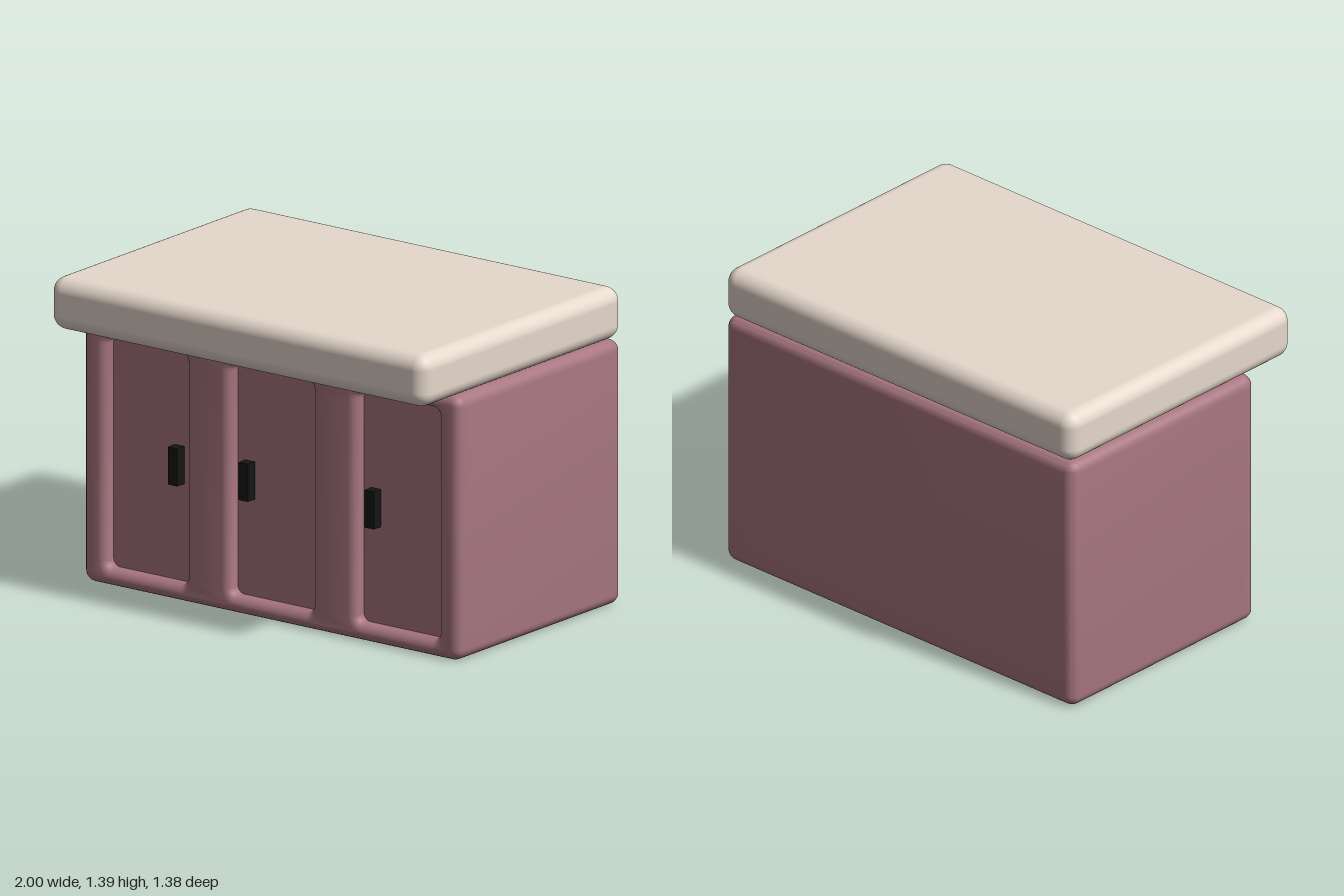
import * as THREE from 'three';
import { toCreasedNormals } from 'three/addons/utils/BufferGeometryUtils.js';
import { RoundedBoxGeometry } from 'three/addons/geometries/RoundedBoxGeometry.js';

const FLOOR_Z = 0.39;   // depth of the recessed door panels
const FRONT_Z = 0.45;
const BACK_Z = -0.68;
const HEIGHT = 1.16;
const EDGE = 0.05;

// Traces a rounded rectangle onto a shape or hole path
function roundedRect(path, x0, x1, y0, y1, r) {
  path.moveTo(x0 + r, y0);
  path.lineTo(x1 - r, y0);
  path.absarc(x1 - r, y0 + r, r, -Math.PI / 2, 0);
  path.lineTo(x1, y1 - r);
  path.absarc(x1 - r, y1 - r, r, 0, Math.PI / 2);
  path.lineTo(x0 + r, y1);
  path.absarc(x0 + r, y1 - r, r, Math.PI / 2, Math.PI);
  path.lineTo(x0, y0 + r);
  path.absarc(x0 + r, y0 + r, r, Math.PI, Math.PI * 1.5);
  return path;
}

export function createModel() {
  const group = new THREE.Group();
  const rose = new THREE.MeshStandardMaterial({ color: 0xa87680 });
  const cream = new THREE.MeshStandardMaterial({ color: 0xe6d8cc });
  const black = new THREE.MeshStandardMaterial({ color: 0x151515 });

  const add = (name, geometry, material, x = 0, y = 0, z = 0) => {
    const mesh = new THREE.Mesh(geometry, material);
    mesh.name = name;
    mesh.position.set(x, y, z);
    group.add(mesh);
  };

  // Cabinet body: a rounded box whose front is cut flat at the panel depth
  const depth = FLOOR_Z + EDGE - BACK_Z;
  const body = new RoundedBoxGeometry(2, HEIGHT, depth, 5, EDGE);
  body.translate(0, HEIGHT / 2, BACK_Z + depth / 2);
  const pos = body.attributes.position;
  for (let i = 0; i < pos.count; i++) pos.setZ(i, Math.min(pos.getZ(i), FLOOR_Z));
  add('cabinetBody', toCreasedNormals(body, 0.7), rose);

  // Front frame with three softly edged door openings
  const frame = roundedRect(new THREE.Shape(), -1, 1, 0, HEIGHT, EDGE);
  for (const [x0, x1] of [[-0.88, -0.455], [-0.22, 0.215], [0.45, 0.885]]) {
    frame.holes.push(roundedRect(new THREE.Path(), x0, x1, 0.075, 1.09, 0.035));
  }
  const bevel = 0.04;
  const frameGeometry = new THREE.ExtrudeGeometry(frame, {
    depth: FRONT_Z - FLOOR_Z - bevel,
    bevelThickness: bevel,
    bevelSize: bevel,
    bevelOffset: -bevel,
    bevelSegments: 5,
    curveSegments: 6,
  });
  add('doorFrame', toCreasedNormals(frameGeometry, 0.7), rose, 0, 0, FLOOR_Z);

  // Door handles standing on the panels
  for (const x of [-0.53, -0.155, 0.515]) {
    add('doorHandle', new THREE.BoxGeometry(0.05, 0.165, 0.05), black, x, 0.583, FLOOR_Z + 0.024);
  }

  // Thick countertop overhanging the front
  add('countertop', new RoundedBoxGeometry(2, 0.23, 1.38, 6, 0.065), cream, 0, 1.275, 0);

  return group;
}
